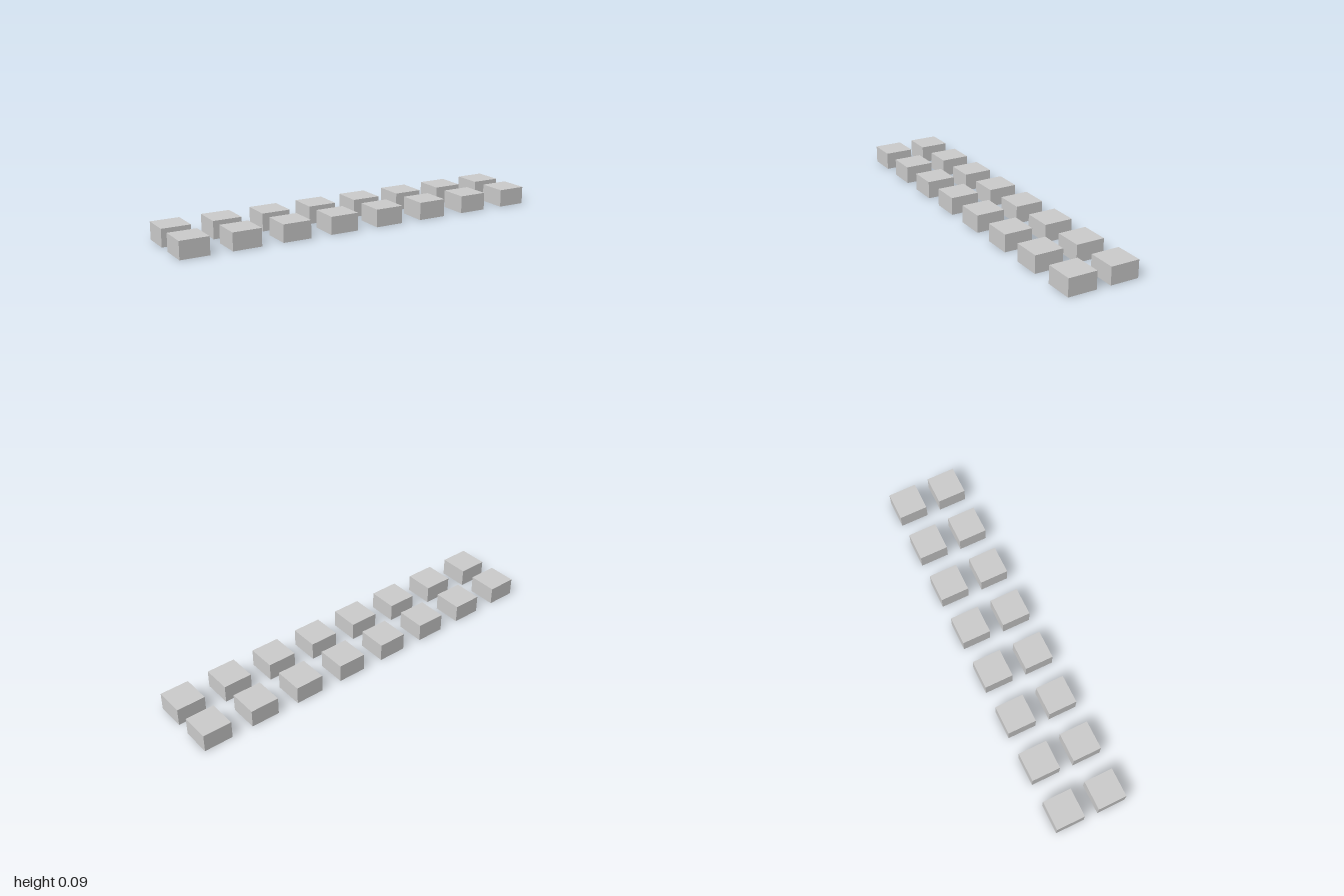
import * as THREE from 'three';

export function createModel() {
  const model = new THREE.Group();
  model.name = 'blockRows';

  const columns = 8;
  const size = 0.151;
  const height = 0.092;
  const pitch = (2 - size) / (columns - 1);
  const rowOffset = 0.1132;

  const material = new THREE.MeshStandardMaterial({ color: 0xcccccc, flatShading: true });
  const geometry = new THREE.BoxGeometry(size, height, size);

  // Two mirrored rows of evenly spaced blocks
  for (const [name, side] of [['front', 1], ['back', -1]]) {
    const row = new THREE.Group();
    row.name = `${name}Row`;
    row.position.z = side * rowOffset;
    for (let i = 0; i < columns; i++) {
      const block = new THREE.Mesh(geometry, material);
      block.name = `${name}Block${i + 1}`;
      block.position.set((i - (columns - 1) / 2) * pitch, height / 2, 0);
      row.add(block);
    }
    model.add(row);
  }
  return model;
}
